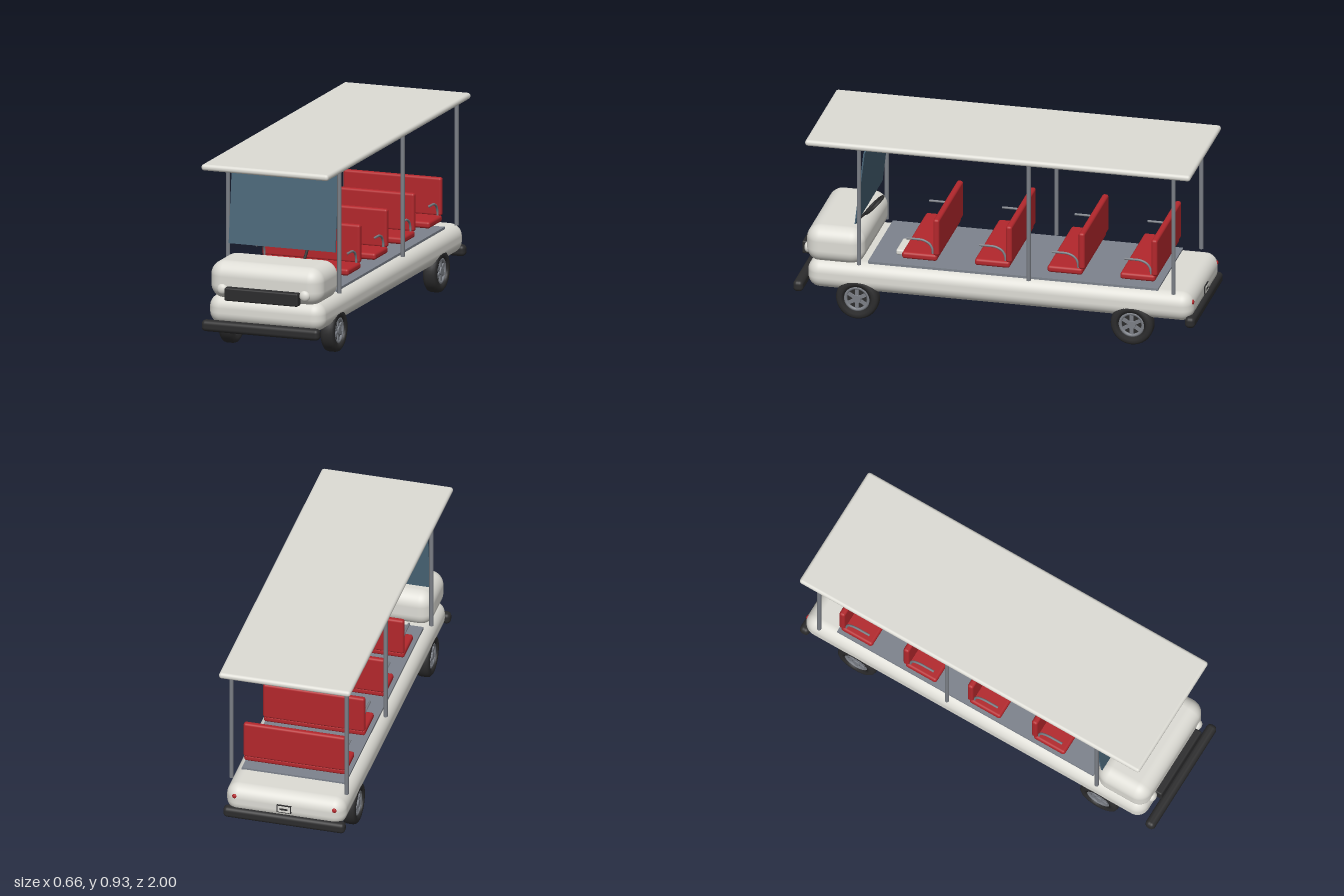
import * as THREE from 'three';
import { RoundedBoxGeometry } from 'three/addons/geometries/RoundedBoxGeometry.js';

const mat = (name, color, side = THREE.FrontSide) => {
  const m = new THREE.MeshStandardMaterial({ color, side });
  m.name = name;
  return m;
};

export function createModel() {
  const cream = mat('cream paint', 0xdddcd5);
  const red = mat('red upholstery', 0xb3272c);
  const black = mat('black rubber', 0x2c2c2d);
  const steel = mat('steel', 0x7b7f86);
  const deck = mat('deck grey', 0x7d838d);
  const glass = mat('tinted glass', 0x496577);
  const model = new THREE.Group();
  model.name = 'shuttleCart';

  const add = (parent, name, geometry, material, x = 0, y = 0, z = 0) => {
    const mesh = new THREE.Mesh(geometry, material);
    mesh.name = name;
    mesh.position.set(x, y, z);
    parent.add(mesh);
    return mesh;
  };
  const rounded = (w, h, d, r, s = 4) => new RoundedBoxGeometry(w, h, d, s, r);
  const tube = (points, r) => new THREE.TubeGeometry(
    new THREE.CatmullRomCurve3(points.map(p => new THREE.Vector3(...p))), 16, r, 8);

  // Body, hood, deck and roof
  add(model, 'chassis', rounded(0.6, 0.148, 1.92, 0.062, 6), cream, 0, 0.213, -0.025);
  add(model, 'hood', rounded(0.584, 0.187, 0.29, 0.07, 6), cream, 0, 0.362, 0.8);
  add(model, 'deck', new THREE.BoxGeometry(0.52, 0.012, 1.445), deck, 0, 0.29, -0.087);
  add(model, 'roof', rounded(0.66, 0.031, 1.918, 0.0145), cream, 0, 0.916, -0.025);

  // Bumpers
  add(model, 'frontBumper', rounded(0.61, 0.056, 0.05, 0.02), black, 0, 0.146, 0.975);
  add(model, 'rearBumper', rounded(0.61, 0.056, 0.05, 0.02), black, 0, 0.146, -0.975);

  // Grille and headlights
  add(model, 'grille', rounded(0.382, 0.065, 0.045, 0.008), black, 0, 0.308, 0.957);
  for (const s of [-1, 1]) {
    const lamp = add(model, 'headlight', new THREE.SphereGeometry(0.027, 24, 16), cream, s * 0.214, 0.324, 0.943);
    lamp.scale.z = 0.7;
    const tail = add(model, 'tailLight', new THREE.SphereGeometry(0.012, 12, 8), red, s * 0.25, 0.238, -0.98);
    tail.scale.z = 0.6;
  }

  // Rear plate
  add(model, 'plateFrame', new THREE.BoxGeometry(0.072, 0.042, 0.008), black, 0, 0.21, -0.986);
  add(model, 'plate', new THREE.BoxGeometry(0.062, 0.032, 0.004), cream, 0, 0.21, -0.9905);
  add(model, 'plateBand', new THREE.BoxGeometry(0.04, 0.01, 0.003), black, 0, 0.21, -0.992);

  // Roof posts
  for (const s of [-1, 1]) {
    for (const z of [0.673, -0.172, -0.893]) {
      add(model, 'roofPost', new THREE.CylinderGeometry(0.0105, 0.0105, 0.62, 14), steel, s * 0.289, 0.598, z);
    }
  }

  // Windshield, leaning back
  const shield = add(model, 'windshield', new THREE.BoxGeometry(0.554, 0.379, 0.007), glass, 0, 0.682, 0.672);
  shield.rotation.x = -0.115;

  // Steering wheel and column in one slanted plane
  const steering = new THREE.Group();
  steering.name = 'steering';
  steering.position.set(0.125, 0.537, 0.635);
  steering.rotation.x = -0.77;
  add(steering, 'steeringWheel', new THREE.TorusGeometry(0.058, 0.007, 10, 32), black);
  add(steering, 'steeringSpoke', new THREE.BoxGeometry(0.11, 0.012, 0.008), black);
  add(steering, 'steeringColumn', new THREE.CylinderGeometry(0.007, 0.007, 0.14, 10), black, 0, -0.065, 0);
  model.add(steering);

  // Bench seats
  for (let i = 0; i < 4; i++) {
    const bench = new THREE.Group();
    bench.name = 'bench';
    bench.position.z = 0.298 - i * 0.362;
    add(bench, 'seatCushion', rounded(0.51, 0.034, 0.175, 0.013), red, 0, 0.342, 0.083);
    add(bench, 'seatBack', rounded(0.51, 0.19, 0.031, 0.012), red, 0, 0.45, 0);
    for (const s of [-1, 1]) {
      add(bench, 'armrest', tube([
        [0, 0.428, 0.15], [0, 0.428, 0.11], [0, 0.426, 0.07],
        [0, 0.41, 0.037], [0, 0.385, 0.022], [0, 0.352, 0.018],
      ], 0.006), steel, s * 0.238);
    }
    model.add(bench);
  }
  add(model, 'driverStep', rounded(0.15, 0.026, 0.17, 0.008), cream, 0.125, 0.332, 0.425);

  // Wheels
  const tyreProfile = [[0.064, -0.03], [0.078, -0.035], [0.093, -0.034], [0.102, -0.027], [0.106, -0.015],
    [0.106, 0.015], [0.102, 0.027], [0.093, 0.034], [0.078, 0.035], [0.064, 0.03], [0.064, -0.03]]
    .map(p => new THREE.Vector2(...p));
  const tyreGeometry = new THREE.LatheGeometry(tyreProfile, 36);
  for (const s of [-1, 1]) {
    for (const z of [0.683, -0.684]) {
      const wheel = new THREE.Group();
      wheel.name = 'wheel';
      wheel.position.set(s * 0.265, 0.106, z);
      wheel.rotation.z = -s * Math.PI / 2;
      add(wheel, 'tyre', tyreGeometry, black);
      add(wheel, 'rimDisc', new THREE.CylinderGeometry(0.065, 0.065, 0.036, 28), black);
      const ring = add(wheel, 'rimRing', new THREE.TorusGeometry(0.057, 0.009, 8, 32), steel, 0, 0.02, 0);
      ring.rotation.x = Math.PI / 2;
      add(wheel, 'hub', new THREE.CylinderGeometry(0.02, 0.026, 0.05, 20), steel, 0, 0.006, 0);
      for (let i = 0; i < 6; i++) {
        const a = i * Math.PI / 3;
        const spoke = add(wheel, 'spoke', new THREE.BoxGeometry(0.044, 0.01, 0.018), steel,
          Math.cos(a) * 0.036, 0.02, -Math.sin(a) * 0.036);
        spoke.rotation.y = a;
      }
      model.add(wheel);
    }
  }
  return model;
}
